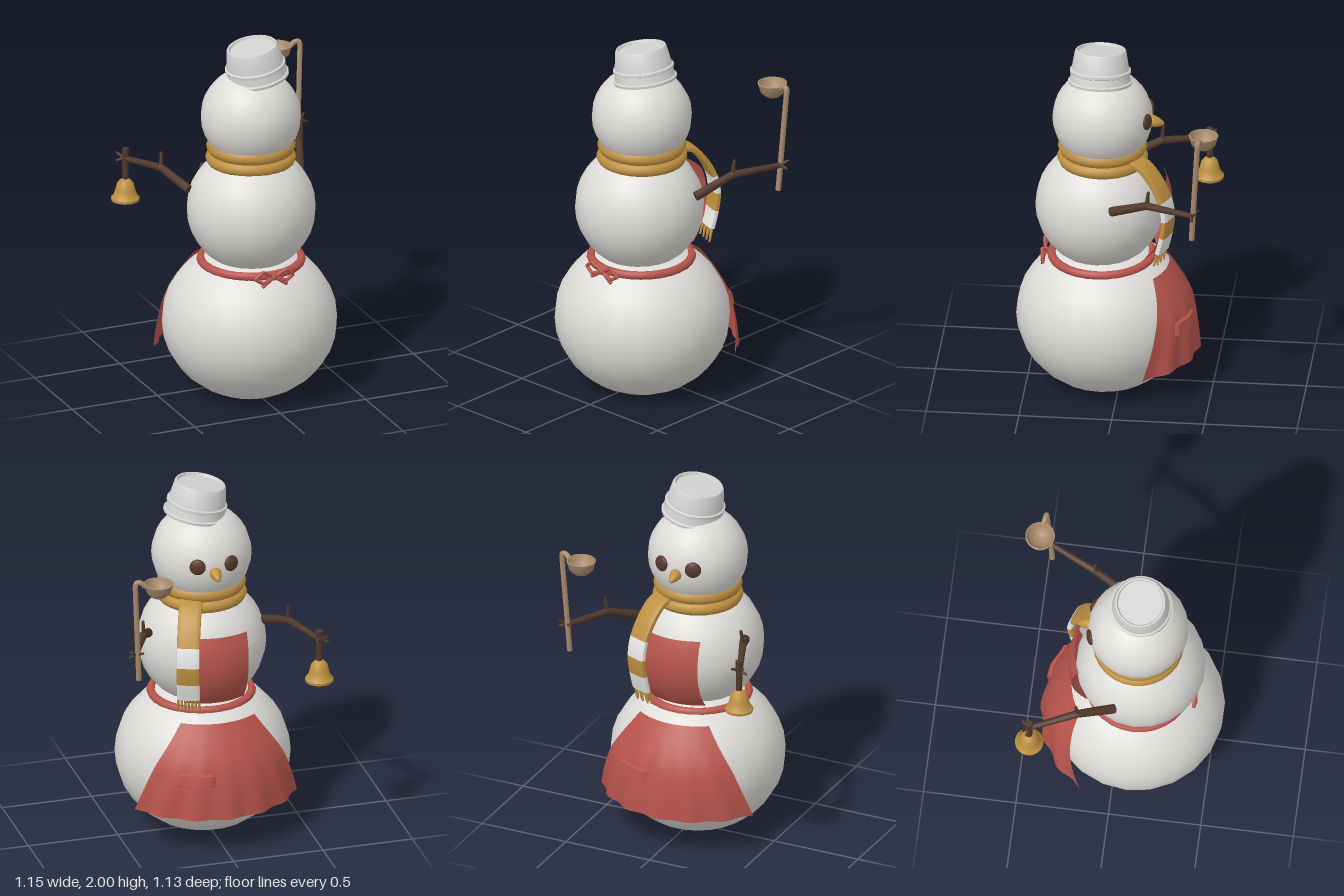
import * as THREE from 'three';
import { toCreasedNormals } from 'three/addons/utils/BufferGeometryUtils.js';
import { ParametricGeometry } from 'three/addons/geometries/ParametricGeometry.js';

const V = (x, y, z) => new THREE.Vector3(x, y, z);

function material(name, color, side = THREE.FrontSide) {
  const m = new THREE.MeshStandardMaterial({ color, side });
  m.name = name;
  return m;
}

export function createModel() {
  const model = new THREE.Group();
  model.name = 'snowman';
  const snow = material('snow', 0xdedcd8);
  const tin = material('bucket grey', 0xd2d2d0);
  const white = material('scarf white', 0xe8e8e6);
  const red = material('apron red', 0xb8544c, THREE.DoubleSide);
  const gold = material('gold', 0xbd9040, THREE.DoubleSide);
  const bark = material('bark brown', 0x50382b);
  const coal = material('eye brown', 0x55382a);
  const wood = material('ladle wood', 0xa98b6c, THREE.DoubleSide);

  function add(name, geometry, mat, parent = model) {
    const mesh = new THREE.Mesh(geometry, mat);
    mesh.name = name;
    parent.add(mesh);
    return mesh;
  }

  // Tapered round stick between two points
  function stick(name, a, b, ra, rb, mat, parent = model) {
    const dir = b.clone().sub(a);
    const mesh = add(name, new THREE.CylinderGeometry(rb, ra, dir.length(), 8), mat, parent);
    mesh.position.copy(a).add(b).multiplyScalar(0.5);
    mesh.quaternion.setFromUnitVectors(V(0, 1, 0), dir.normalize());
    return mesh;
  }

  function lathe(name, points, mat, parent = model, segments = 24) {
    const g = new THREE.LatheGeometry(points.map(p => new THREE.Vector2(...p)), segments);
    return add(name, toCreasedNormals(g, 0.6), mat, parent);
  }

  // Snow balls; the lowest one is flattened against the ground
  function ball(name, r, ry, x, y, z) {
    const g = new THREE.SphereGeometry(1, 22, 16).scale(r, ry, r).translate(x, y, z);
    const p = g.attributes.position;
    for (let i = 0; i < p.count; i++) p.setY(i, Math.max(0, p.getY(i)));
    add(name, g, snow);
  }
  ball('lowerBody', 0.473, 0.43, 0, 0.4, 0.09);
  ball('upperBody', 0.348, 0.345, 0, 1.05, 0.112);
  ball('head', 0.27, 0.268, 0.004, 1.573, 0.098);

  // Upturned bucket hat
  const bucket = lathe('bucketHat', [
    [0, 0.02], [0.15, 0.02], [0.16, 0], [0.172, 0], [0.174, 0.014], [0.164, 0.02],
    [0.157, 0.058], [0.165, 0.062], [0.165, 0.076], [0.155, 0.082],
    [0.139, 0.178], [0.134, 0.186], [0.126, 0.186], [0.12, 0.172], [0, 0.172],
  ], tin);
  bucket.position.set(0.038, 1.793, 0.108);
  bucket.rotation.z = 0.175;

  // Face
  for (const s of [-1, 1]) {
    const eye = add(s > 0 ? 'leftEye' : 'rightEye', new THREE.SphereGeometry(0.044, 14, 10), coal);
    eye.scale.z = 0.4;
    eye.position.set(0.005 + s * 0.094, 1.6, -0.152);
    eye.lookAt(0.004, 1.573, 0.098);
  }
  const nose = lathe('nose', [[0, -0.02], [0.031, 0], [0.033, 0.02], [0.026, 0.05], [0.013, 0.078], [0, 0.088]], gold, model, 12);
  nose.position.set(0.005, 1.565, -0.152);
  nose.rotation.x = -Math.PI / 2 - 0.25;

  // Scarf wrapped twice around the neck
  [[0.182, 1.403, 0.046], [0.187, 1.337, 0.042]].forEach(([R, y, h], i) => {
    const g = new THREE.TorusGeometry(R, 0.058, 10, 28).rotateX(Math.PI / 2).scale(1, h / 0.058, 1);
    add(i ? 'scarfLowerWrap' : 'scarfUpperWrap', g, gold).position.set(0.004, y, 0.098);
  });

  // Hanging scarf tail with stripes and fringe; local +z points away from the body
  const tail = new THREE.Group();
  tail.name = 'scarfTail';
  tail.position.set(0.125, 0, -0.11);
  tail.rotation.y = 2.77;
  model.add(tail);
  const drop = new THREE.CatmullRomCurve3([
    V(0, 1.37, -0.03), V(0, 1.35, 0.03), V(0, 1.275, 0.1), V(0, 1.175, 0.155),
    V(0, 1.07, 0.175), V(0, 0.97, 0.163), V(0, 0.87, 0.138),
  ]);
  function stripe(name, t0, t1, mat) {
    const rows = 10;
    const g = new ParametricGeometry((u, v, out) => {
      const t = t0 + (t1 - t0) * THREE.MathUtils.clamp((v * rows - 1) / (rows - 2), 0, 1);
      const c = drop.getPoint(t), d = drop.getTangent(t);
      const k = v < 0.01 || v > 0.99 ? 0 : 1;
      const a = u * Math.PI * 2, squash = w => Math.sign(w) * Math.sqrt(Math.abs(w));
      const thick = squash(Math.sin(a)) * 0.018 * k;
      out.set(squash(Math.cos(a)) * 0.062 * k, c.y + d.z * thick, c.z - d.y * thick);
    }, 16, rows);
    add(name, toCreasedNormals(g, 0.8), mat, tail);
  }
  stripe('scarfTailTop', 0, 3 / 6, gold);
  stripe('scarfStripeUpper', 3 / 6, 4 / 6, white);
  stripe('scarfStripeMiddle', 4 / 6, 5 / 6, gold);
  stripe('scarfStripeLower', 5 / 6, 1, white);
  for (let i = 0; i < 7; i++) {
    const x = -0.054 + i * 0.018;
    stick('fringe', V(x, 0.875, 0.138), V(x * 1.08, 0.797, 0.118 + (i % 2) * 0.012), 0.007, 0.006, gold, tail);
  }

  // Apron bib resting over the upper body
  const surface = (fn, nu, nv) => toCreasedNormals(new ParametricGeometry(fn, nu, nv), 0.9);
  add('apronBib', surface((u, v, out) => {
    const x = (u - 0.5) * 0.32, y = 1.21 - v * 0.41;
    out.set(x, y, 0.112 - Math.sqrt(0.152 - x * x - (y - 1.05) ** 2));
  }, 10, 12), red);

  // Apron skirt: an arc that widens and ripples towards the hem
  const flare = new THREE.CatmullRomCurve3([V(0.35, 0.71, 0), V(0.422, 0.6, 0), V(0.475, 0.49, 0), V(0.502, 0.35, 0), V(0.512, 0.215, 0)]);
  function skirtPoint(side, t, lift, out) {
    const p = flare.getPoint(t);
    const a = side * THREE.MathUtils.degToRad(36 + 25 * t);
    const r = p.x + lift + 0.01 * t * t * Math.cos(side * 18);
    out.set(r * Math.sin(a), p.y, 0.09 - r * Math.cos(a));
  }
  add('apronSkirt', surface((u, v, out) => skirtPoint(u * 2 - 1, v, 0, out), 40, 14), red);
  add('apronPocket', surface((u, v, out) => {
    const edge = u < 0.01 || u > 0.99 || v < 0.01 || v > 0.99;
    skirtPoint(0.16 + 0.5 * u, 0.53 + 0.13 * v, edge ? 0.001 : 0.016, out);
  }, 14, 10), red);

  // Apron belt with a bow at the back
  const belt = add('apronBelt', new THREE.TorusGeometry(0.27, 0.024, 8, 30), red);
  belt.rotation.x = Math.PI / 2;
  belt.position.set(0.004, 0.75, 0.102);
  const bow = new THREE.Group();
  bow.name = 'apronBow';
  bow.position.set(0.005, 0.752, 0.405);
  model.add(bow);
  add('bowKnot', new THREE.SphereGeometry(0.02, 8, 6), red, bow);
  for (const s of [-1, 1]) {
    const loop = [V(0, 0, 0), V(s * 0.068, 0.04, 0.012), V(s * 0.112, 0.002, 0.005), V(s * 0.068, -0.025, 0.012), V(0, 0, 0)];
    for (let i = 0; i < 4; i++) stick('bowLoop', loop[i], loop[i + 1], 0.01, 0.01, red, bow);
    stick('bowTail', V(0, 0, 0.005), V(s * 0.072, -0.046, 0.01), 0.008, 0.01, red, bow);
  }

  // Branch arms: shoulder, elbow, hand, then twigs
  function arm(name, shoulder, elbow, hand) {
    const g = new THREE.Group();
    g.name = name;
    model.add(g);
    stick('upperBranch', shoulder, elbow, 0.026, 0.021, bark, g);
    stick('lowerBranch', elbow, hand, 0.021, 0.015, bark, g);
    add('elbowKnot', new THREE.SphereGeometry(0.021, 8, 6), bark, g).position.copy(elbow);
    stick('elbowTwig', elbow, elbow.clone().add(V(0.006, 0.085, -0.01)), 0.013, 0.008, bark, g);
    const s = Math.sign(hand.x);
    for (const d of [V(s * 0.035, 0.03, -0.03), V(s * 0.045, -0.012, -0.01), V(-s * 0.03, 0.02, -0.04)])
      stick('fingerTwig', hand, hand.clone().add(d), 0.011, 0.006, bark, g);
  }
  arm('leftArm', V(0.325, 1.165, 0.02), V(0.41, 1.255, -0.18), V(0.525, 1.265, -0.43));
  arm('rightArm', V(-0.32, 1.165, 0.01), V(-0.4, 1.235, -0.18), V(-0.505, 1.215, -0.43));

  // Wooden ladle
  const ladle = new THREE.Group();
  ladle.name = 'ladle';
  model.add(ladle);
  stick('ladleHandle', V(0.51, 1.115, -0.432), V(0.54, 1.685, -0.466), 0.015, 0.015, wood, ladle);
  const hook = new THREE.CatmullRomCurve3([V(0.54, 1.68, -0.466), V(0.535, 1.706, -0.468), V(0.512, 1.707, -0.472), V(0.487, 1.685, -0.478)]);
  add('ladleHook', new THREE.TubeGeometry(hook, 12, 0.015, 8), wood, ladle);
  lathe('ladleBowl', [[0, 0], [0.04, 0.01], [0.066, 0.035], [0.08, 0.085], [0.073, 0.087], [0.06, 0.042], [0.036, 0.018], [0, 0.01]], wood, ladle)
    .position.set(0.415, 1.613, -0.487);

  // Hand bell
  const bell = new THREE.Group();
  bell.name = 'bell';
  bell.position.set(-0.5, 0.975, -0.428);
  model.add(bell);
  lathe('bellBody', [
    [0.06, 0.002], [0.076, 0], [0.077, 0.014], [0.064, 0.028], [0.053, 0.06],
    [0.045, 0.095], [0.03, 0.113], [0.018, 0.122], [0, 0.124],
  ], gold, bell);
  stick('bellHandle', V(0, 0.12, 0), V(0, 0.295, 0), 0.017, 0.02, bark, bell);
  stick('clapperRod', V(0, 0.01, 0), V(0, 0.11, 0), 0.006, 0.006, bark, bell);
  add('clapper', new THREE.SphereGeometry(0.019, 10, 8), bark, bell).position.y = 0.004;

  return model;
}
